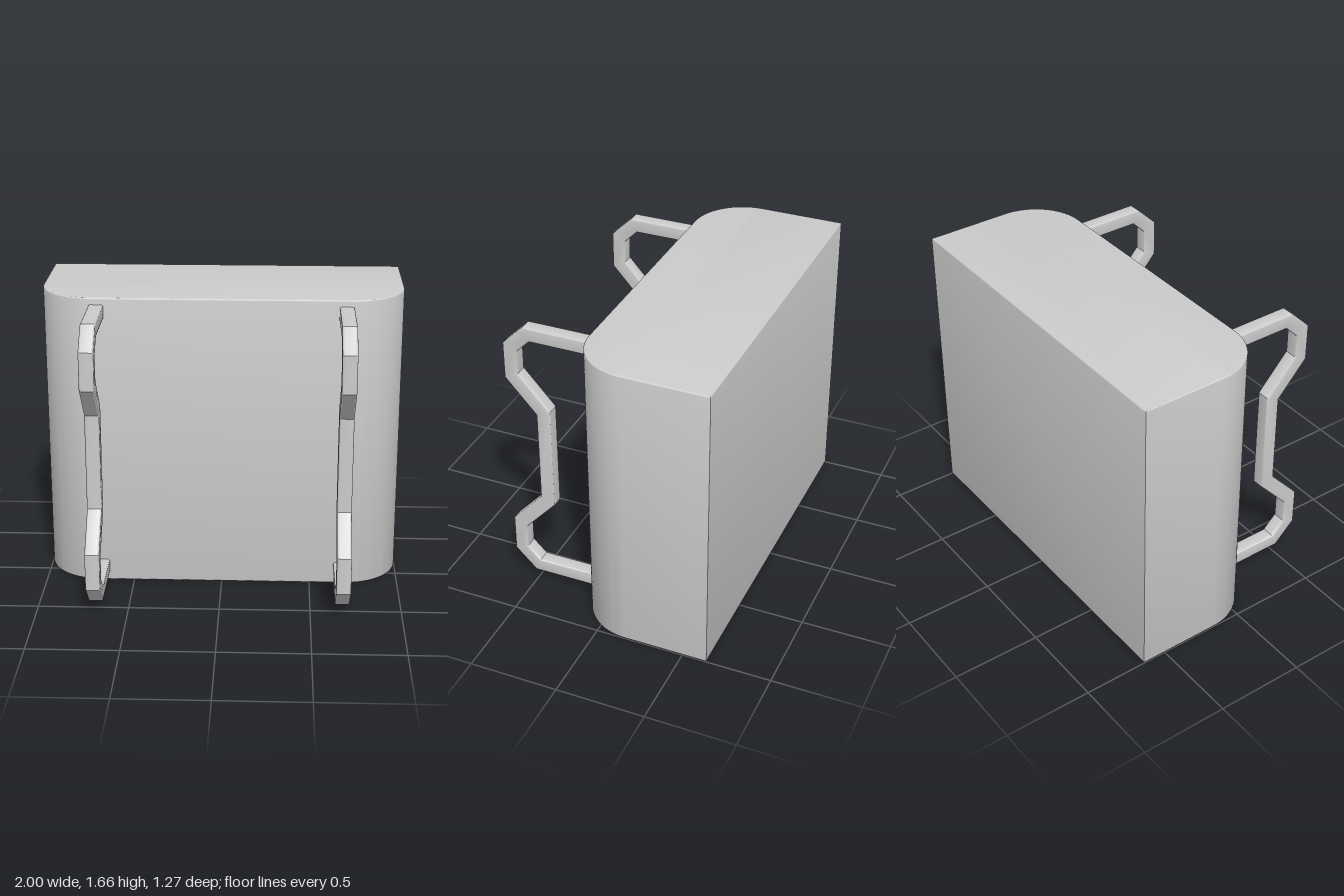
import * as THREE from 'three';
import { toCreasedNormals } from 'three/addons/utils/BufferGeometryUtils.js';

const material = new THREE.MeshStandardMaterial({ color: 0xcccccc });

// Extrusion whose softened edges stay inside the outline; spans 0..depth along z
function softExtrude(shape, depth, bevel, crease) {
  const geometry = new THREE.ExtrudeGeometry(shape, {
    depth: depth - 2 * bevel,
    bevelEnabled: true,
    bevelThickness: bevel,
    bevelSize: bevel,
    bevelOffset: -bevel,
    bevelSegments: 3,
    curveSegments: 20,
  });
  geometry.translate(0, 0, bevel);
  return toCreasedNormals(geometry, crease);
}

// Cabinet: flat back, two large rounded front corners
function createBody() {
  const back = 0.637, front = -0.14, r = 0.3; // shape y is -z
  const shape = new THREE.Shape();
  shape.moveTo(-1, back);
  shape.lineTo(-1, front + r);
  shape.absarc(-1 + r, front + r, r, Math.PI, 1.5 * Math.PI, false);
  shape.absarc(1 - r, front + r, r, 1.5 * Math.PI, 2 * Math.PI, false);
  shape.lineTo(1, back);
  shape.closePath();
  const geometry = softExtrude(shape, 1.665, 0.008, 0.6);
  geometry.rotateX(-Math.PI / 2);
  const body = new THREE.Mesh(geometry, material);
  body.name = 'body';
  return body;
}

// Angular handle: half profiles (z, height from middle), mirrored top to bottom
function createHandle(name, x) {
  const middle = 0.8375, width = 0.08;
  const outer = [[0.1, 0.79], [0.515, 0.79], [0.637, 0.67], [0.637, 0.462], [0.46, 0.267]];
  const inner = [[0.38, 0.303], [0.558, 0.5], [0.558, 0.635], [0.482, 0.71], [0.1, 0.71]];
  const flip = (points) => points.map(([z, h]) => [z, -h]).reverse();
  const outline = [...outer, ...flip(outer), ...flip(inner), ...inner];
  const shape = new THREE.Shape(outline.map(([z, h]) => new THREE.Vector2(z, middle + h)));
  const geometry = softExtrude(shape, width, 0.01, 0.6);
  geometry.translate(0, 0, -width / 2);
  geometry.rotateY(-Math.PI / 2);
  const handle = new THREE.Mesh(geometry, material);
  handle.name = name;
  handle.position.x = x;
  return handle;
}

export function createModel() {
  const model = new THREE.Group();
  model.name = 'cabinetWithHandles';
  model.add(
    createBody(),
    createHandle('leftHandle', 0.675),
    createHandle('rightHandle', -0.679),
  );
  return model;
}
